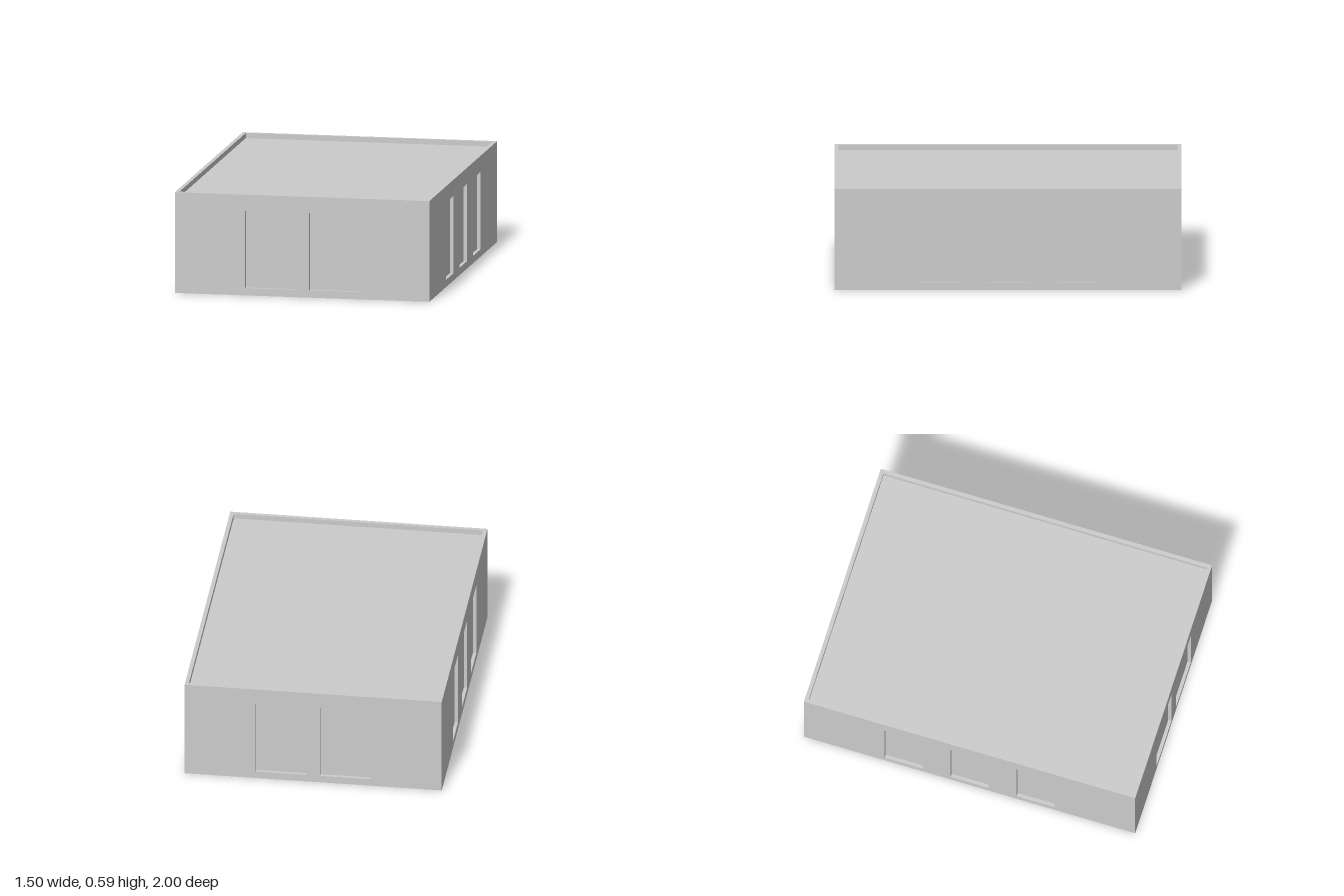
import * as THREE from 'three';

const W = 1.496, L = 2, H = 0.59;   // shell size
const RIM = 0.023, SUNK = 0.03;     // parapet width and roof drop
const SILL = 0.043, HEAD = 0.495, RECESS = 0.02;

const material = new THREE.MeshStandardMaterial({ color: 0xcccccc, side: THREE.DoubleSide });

function addMesh(parent, name, geometry) {
  const mesh = new THREE.Mesh(geometry, material);
  mesh.name = name;
  parent.add(mesh);
  return mesh;
}

function rectangle(Type, x0, y0, x1, y1) {
  const p = new Type();
  p.moveTo(x0, y0).lineTo(x1, y0).lineTo(x1, y1).lineTo(x0, y1).closePath();
  return p;
}

// Box with one of its six sides left out (2 = top, 4 = front)
function openBox(w, h, d, side) {
  const g = new THREE.BoxGeometry(w, h, d);
  g.setIndex(Array.from(g.index.array).filter((_, i) => Math.floor(i / 6) !== side));
  g.clearGroups();
  return g;
}

// Thin wall facing +z, with a shallow recessed panel behind each opening
function makeWall(name, width, centres, openingWidth) {
  const wall = new THREE.Group();
  wall.name = name;
  const shape = rectangle(THREE.Shape, -width / 2, 0, width / 2, H);
  for (const c of centres) {
    shape.holes.push(rectangle(THREE.Path, c - openingWidth / 2, SILL, c + openingWidth / 2, HEAD));
    addMesh(wall, 'windowRecess', openBox(openingWidth, HEAD - SILL, RECESS, 4))
      .position.set(c, (SILL + HEAD) / 2, -RECESS / 2);
  }
  addMesh(wall, 'wallSurface', new THREE.ShapeGeometry(shape));
  return wall;
}

export function createModel() {
  const building = new THREE.Group();
  building.name = 'building';

  // Walls: two openings on each short side, three on each long side
  ['frontWall', 'leftWall', 'backWall', 'rightWall'].forEach((name, i) => {
    const long = i % 2 === 1;
    const wall = long
      ? makeWall(name, L, [-0.398, 0, 0.398], 0.228)
      : makeWall(name, W, [-0.188, 0.188], 0.292);
    const angle = i * Math.PI / 2, reach = (long ? W : L) / 2;
    wall.rotation.y = angle;
    wall.position.set(Math.sin(angle) * reach, 0, Math.cos(angle) * reach);
    building.add(wall);
  });

  // Flat parapet rim around the roof
  const x = W / 2, z = L / 2;
  const rim = rectangle(THREE.Shape, -x, -z, x, z);
  rim.holes.push(rectangle(THREE.Path, -x + RIM, -z + RIM, x - RIM, z - RIM));
  addMesh(building, 'parapetRim', new THREE.ShapeGeometry(rim).rotateX(-Math.PI / 2)).position.y = H;

  // Sunken roof tray
  addMesh(building, 'roof', openBox(W - 2 * RIM, SUNK, L - 2 * RIM, 2)).position.y = H - SUNK / 2;

  return building;
}
